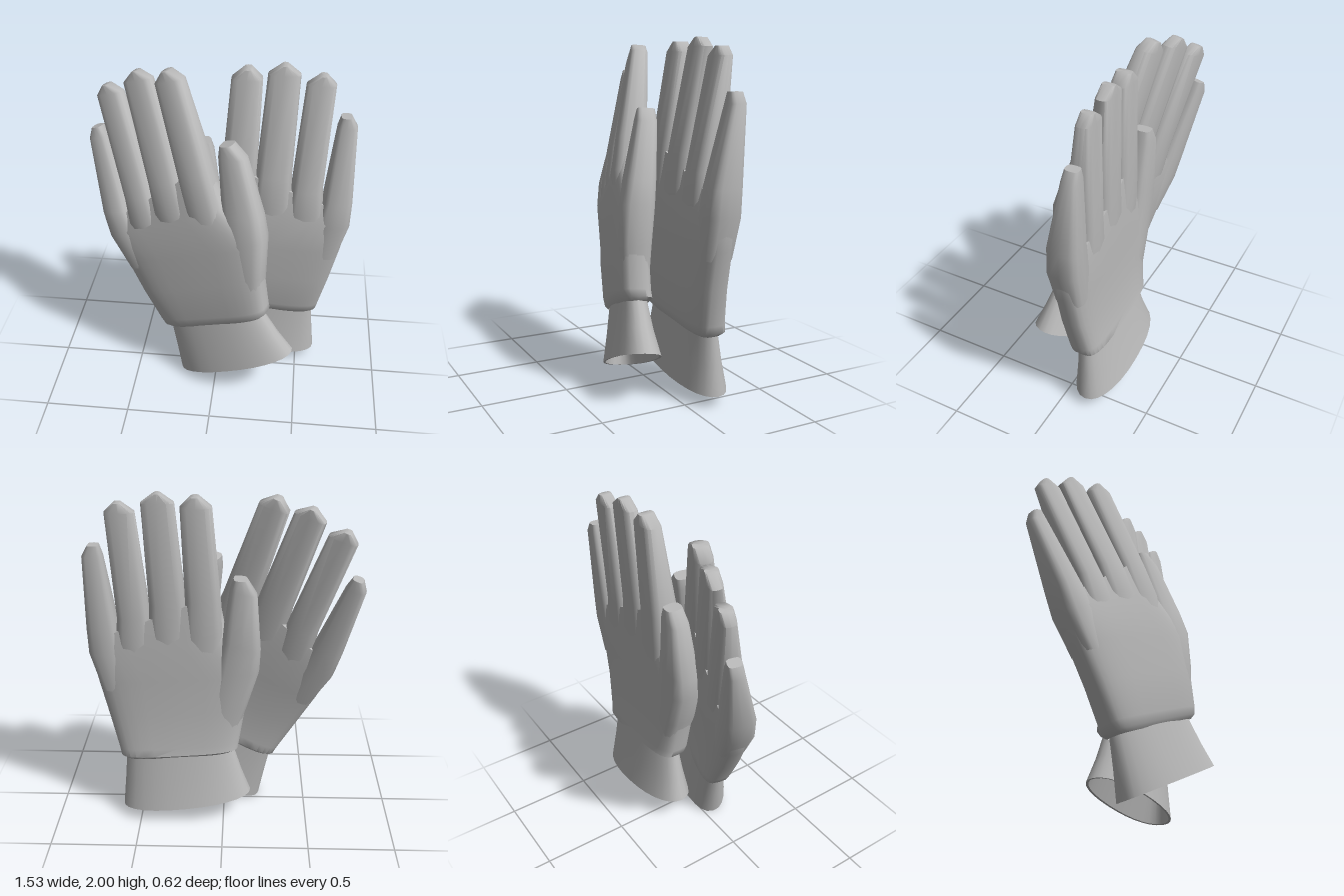
import * as THREE from 'three';
import { toCreasedNormals } from 'three/addons/utils/BufferGeometryUtils.js';

const fabric = new THREE.MeshStandardMaterial({ color: 0xb8b8b8, side: THREE.DoubleSide });
fabric.name = 'grey fabric';

// Skin over stacked rings. Each row: left x, left y, right x, right y, front z, back z.
// power 1 gives elliptical rings, smaller values squarer ones; side -1 mirrors in x.
function loft(rows, { n = 16, power = 0.6, side = 1, cap = true }) {
  const pos = [], index = [];
  const bend = (v) => Math.sign(v) * Math.pow(Math.abs(v), power);
  const tri = (a, b, c) => (side > 0 ? index.push(a, b, c) : index.push(a, c, b));
  for (const [lx, ly, rx, ry, zf, zb] of rows) {
    for (let j = 0; j < n; j++) {
      const t = (j / n) * Math.PI * 2;
      const u = bend(Math.cos(t)) / 2 + 0.5;
      const v = bend(Math.sin(t)) / 2 + 0.5;
      pos.push(side * (lx + (rx - lx) * u), ly + (ry - ly) * u, zb + (zf - zb) * v);
    }
  }
  for (let i = 0; i < rows.length - 1; i++) {
    for (let j = 0; j < n; j++) {
      const a = i * n + j, b = i * n + ((j + 1) % n);
      tri(a, a + n, b);
      tri(b, a + n, b + n);
    }
  }
  if (cap) {
    const [lx, ly, rx, ry, zf, zb] = rows[rows.length - 1];
    const first = (rows.length - 1) * n, centre = pos.length / 3;
    pos.push(side * (lx + rx) / 2, (ly + ry) / 2, (zf + zb) / 2);
    for (let j = 0; j < n; j++) tri(centre, first + ((j + 1) % n), first + j);
  }
  const geo = new THREE.BufferGeometry();
  geo.setAttribute('position', new THREE.Float32BufferAttribute(pos, 3));
  geo.setIndex(index);
  return toCreasedNormals(geo, 0.9);
}

// Finger rings: left x, right x, y, front z, back z
const level = (rows) => rows.map(([l, r, y, f, b]) => [l, y, r, y, f, b]);

const fingers = {
  indexFinger: level([
    [0.02, 0.23, 0.95, -0.015, -0.185], [0.0, 0.225, 1.2, 0, -0.2],
    [0.015, 0.214, 1.4, -0.022, -0.2], [0.058, 0.228, 1.925, -0.1, -0.205], [0.125, 0.17, 1.98, -0.112, -0.2]]),
  middleFinger: level([
    [0.2, 0.41, 0.95, -0.015, -0.185], [0.195, 0.42, 1.2, 0.002, -0.2],
    [0.208, 0.412, 1.38, -0.02, -0.2], [0.253, 0.43, 1.95, -0.125, -0.21], [0.325, 0.36, 2.0, -0.135, -0.207]]),
  ringFinger: level([
    [0.38, 0.58, 0.9, -0.015, -0.185], [0.395, 0.605, 1.15, 0, -0.2],
    [0.41, 0.592, 1.3, -0.015, -0.2], [0.46, 0.622, 1.9, -0.125, -0.21], [0.53, 0.57, 1.95, -0.135, -0.207]]),
  littleFinger: level([
    [0.53, 0.7, 0.85, -0.015, -0.185], [0.565, 0.762, 1.08, -0.002, -0.198],
    [0.592, 0.765, 1.23, -0.012, -0.2], [0.642, 0.755, 1.66, -0.115, -0.207], [0.66, 0.72, 1.72, -0.125, -0.202]]),
  thumb: [
    [-0.07, 0.54, 0.16, 0.5, -0.04, -0.2], [-0.14, 0.75, 0.1, 0.72, -0.015, -0.2],
    [-0.205, 0.97, 0.05, 0.97, -0.012, -0.205], [-0.21, 1.1, 0.01, 1.17, -0.035, -0.208],
    [-0.185, 1.44, -0.035, 1.48, -0.09, -0.212], [-0.13, 1.53, -0.055, 1.535, -0.105, -0.205]],
};

// Hand body with a bevelled lip over the cuff; its left edge follows the thumb
// and its slanted top ends at the notches between the fingers
const palm = [
  [-0.055, 0.455, 0.58, 0.4, -0.045, -0.215], [-0.088, 0.478, 0.61, 0.422, -0.025, -0.235],
  [-0.095, 0.52, 0.62, 0.47, -0.015, -0.226], [-0.13, 0.74, 0.67, 0.68, -0.001, -0.205],
  [-0.17, 0.95, 0.72, 0.9, 0.001, -0.2], [-0.015, 1.19, 0.755, 1.08, 0, -0.198],
  [0.03, 1.45, 0.74, 1.16, -0.035, -0.185]];

// Flared cuff, inner wall first, then the rim and outer wall
const cuff = [
  [-0.035, 0.46, 0.565, 0.42, -0.055, -0.205], [-0.148, 0.172, 0.595, 0.068, -0.013, -0.287],
  [-0.163, 0.172, 0.612, 0.065, 0, -0.3], [-0.108, 0.31, 0.595, 0.24, -0.022, -0.257],
  [-0.055, 0.475, 0.58, 0.42, -0.04, -0.22]];

function buildGlove(name, side) {
  const glove = new THREE.Group();
  glove.name = name;
  const add = (part, geometry) => {
    const mesh = new THREE.Mesh(geometry, fabric);
    mesh.name = part;
    glove.add(mesh);
  };
  add('palm', loft(palm, { n: 32, power: 0.55, side }));
  add('cuff', loft(cuff, { n: 28, power: 0.9, side, cap: false }));
  for (const [part, rows] of Object.entries(fingers)) add(part, loft(rows, { n: 16, power: 0.6, side }));
  return glove;
}

export function createModel() {
  const model = new THREE.Group();
  model.name = 'pairOfGloves';

  // Upright glove behind
  model.add(buildGlove('backGlove', 1));

  // Mirrored glove leaning across in front
  const front = buildGlove('frontGlove', -1);
  front.applyMatrix4(new THREE.Matrix4().makeBasis(
    new THREE.Vector3(0.925, 0.29, 0.25).normalize(),
    new THREE.Vector3(-0.263, 0.957, -0.146).normalize(),
    new THREE.Vector3(-0.282, 0.069, 0.961).normalize(),
  ).setPosition(0.325, 0.13, 0.36));
  model.add(front);
  return model;
}
